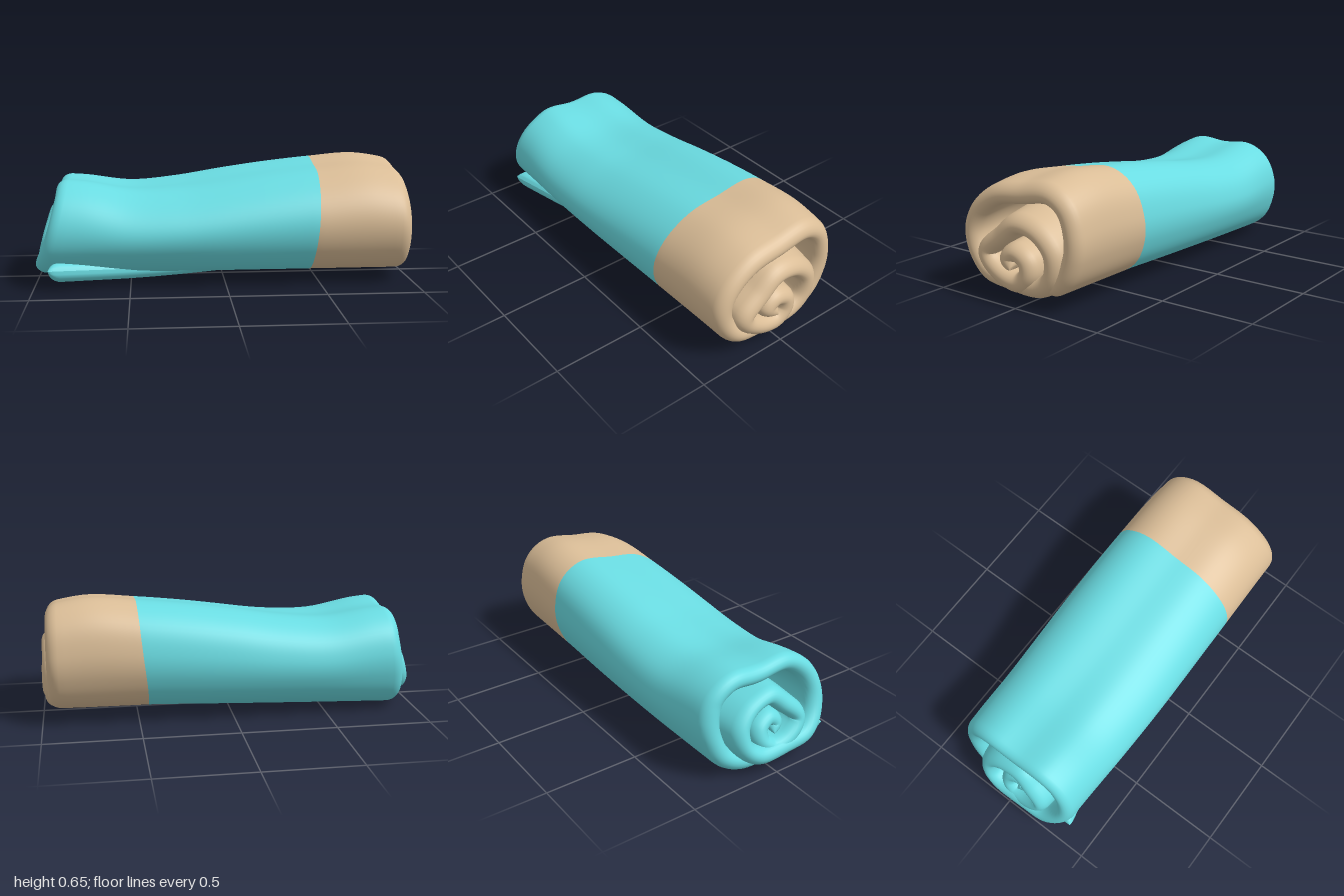
import * as THREE from 'three';

const { lerp, smoothstep, clamp } = THREE.MathUtils;
const H = 0.053;          // half thickness of the cloth
const RIM = 0.06;         // roundness of the folded rims at both ends
const FLAP = 0.84;        // path fraction where the loose flap starts
const STEPS = 280;

// Spiral of the roll seen from the end, from the core outwards: [z, y]
const SPIRAL = [
  [0.03, 0.19], [0.07, 0.235], [0.025, 0.272], [-0.04, 0.24], [-0.05, 0.17], [0.005, 0.118],
  [0.1, 0.13], [0.2, 0.2], [0.215, 0.25], [0.12, 0.34], [0.02, 0.42], [-0.1, 0.4],
  [-0.19, 0.3], [-0.18, 0.17], [-0.1, 0.11], [0.1, 0.11], [0.23, 0.13], [0.31, 0.22],
  [0.335, 0.34], [0.29, 0.45], [0.17, 0.54], [0, 0.57], [-0.17, 0.59], [-0.26, 0.53],
  [-0.3, 0.4], [-0.29, 0.25], [-0.24, 0.125], [-0.14, 0.062], [0, 0.053], [0.2, 0.068],
  [0.38, 0.115],
];
// Height of the roll at equal steps from x = -1 to x = 1
const TOPS = [0.55, 0.537, 0.505, 0.525, 0.565, 0.6, 0.627, 0.645, 0.605];

const path = new THREE.CatmullRomCurve3(SPIRAL.map(([z, y]) => new THREE.Vector3(0, y, z)));
const N = 600;
const table = path.getSpacedPoints(N);
const total = path.getLength();
const topLine = new THREE.CatmullRomCurve3(
  TOPS.map((y, i) => new THREE.Vector3(i / 4 - 1, y, 0)), false, 'catmullrom', 0.5);

function pathPoint(q) {
  const f = clamp(q, 0, 1) * N, i = Math.min(Math.floor(f), N - 1);
  return table[i].clone().lerp(table[i + 1], f - i);
}

// The flap's edge runs diagonally under the roll, so its length depends on x
function pathPosition(s, x) {
  const reach = lerp(1, 0.12, clamp((x + 0.9) / 1.85, 0, 1));
  const end = FLAP + (1 - FLAP) * reach;
  const q = s < FLAP ? s : FLAP + (s - FLAP) * reach;
  return { q, edge: Math.min(q, end - q) * total };
}

// Point of the cloth: s along the spiral, x along the roll, side from -1 to 1 through the cloth
function clothPoint(s, x, side) {
  const { q, edge } = pathPosition(s, x);
  const p = pathPoint(q);
  const t = pathPoint(q + 0.004).sub(pathPoint(q - 0.004)).normalize();
  const e = clamp(1 - edge / H, 0, 1);
  const h = H * Math.sqrt(1 - e * e) * side;
  let y = p.y - t.z * h, z = p.z + t.y * h;
  // inner turns swell towards the middle and narrow towards the left end
  const inner = 1 - smoothstep(q, 0.34, 0.45);
  const swell = 0.12 * (1 - x * x) * inner;
  y += (y - 0.06) * swell;
  z += (z - 0.02) * (swell - 0.15 * inner * smoothstep(-x, 0.3, 1));
  // the bottom layer rises to the right, where the flap gets short
  y += 0.052 * clamp((x + 0.9) / 1.3, 0, 1) * smoothstep(q, 0.74, 0.83);
  // sag and swell of the whole roll
  const top = topLine.getPoint(clamp((x + 1) / 2, 0, 1)).y;
  y += (top - 0.645) * smoothstep(y, 0.05, 0.645);
  // fuller front shoulder towards the left end
  y += 0.05 * smoothstep(-x, 0, 0.9) * smoothstep(z, -0.1, 0.2) * smoothstep(y, 0.2, 0.45);
  z *= z < 0 ? 1 + 0.09 * (1 - x * x) : 1 + 0.015 * (1 - x * x) - 0.05 * smoothstep(-x, 0, 1);
  return [x, Math.max(y, 0), z];
}

// Where the cloth ends: the inner turns stick out further than the outer one
const rightEnd = s => lerp(1, 0.965, smoothstep(s, 0.1, 0.6));
function leftEnd(s) {
  const { y } = pathPoint(s);
  const innerEnd = -1 + 0.23 * Math.max(y - 0.1, 0);
  const outerEnd = -0.88 - 0.1 * Math.max(0.5 - y, 0);
  return lerp(innerEnd, outerEnd, smoothstep(s, 0.45, 0.6)) + 0.04 * (1 - smoothstep(s, 0, 0.15));
}

// One colour of the cloth: a U-shaped section around its rim, swept along the spiral
function clothPart(name, color, dir, flat) {
  const arc = 12, cols = 2 * flat + arc + 1;
  const positions = [], indices = [];
  for (let i = 0; i <= STEPS; i++) {
    const u = i / STEPS;
    const s = u - 0.7 * Math.sin(2 * Math.PI * u) / (2 * Math.PI);
    const seam = 0.44 + 0.1 * pathPoint(pathPosition(s, 0.47).q).y;
    const rim = dir > 0 ? rightEnd(s) - RIM : leftEnd(s) + RIM;
    for (let j = 0; j < cols; j++) {
      let x, side;
      if (j < flat) {
        x = lerp(seam, rim, j / flat);
        side = dir;
      } else if (j <= flat + arc) {
        const a = Math.PI * (j - flat) / arc;
        x = rim + dir * RIM * Math.sin(a);
        side = dir * Math.cos(a);
      } else {
        x = lerp(rim, seam, (j - flat - arc) / flat);
        side = -dir;
      }
      positions.push(...clothPoint(s, x, side));
      if (i < STEPS && j < cols - 1) {
        const a = i * cols + j, c = a + cols;
        indices.push(a, a + 1, c, a + 1, c + 1, c);
      }
    }
  }
  const geometry = new THREE.BufferGeometry();
  geometry.setAttribute('position', new THREE.Float32BufferAttribute(positions, 3));
  geometry.setIndex(indices);
  geometry.computeVertexNormals();
  const mesh = new THREE.Mesh(geometry, new THREE.MeshStandardMaterial({ color }));
  mesh.name = name;
  return mesh;
}

export function createModel() {
  const group = new THREE.Group();
  group.name = 'rolledTowel';
  group.add(clothPart('towelBody', 0x6adce2, -1, 32));
  group.add(clothPart('towelBorder', 0xdabd97, 1, 12));
  return group;
}
